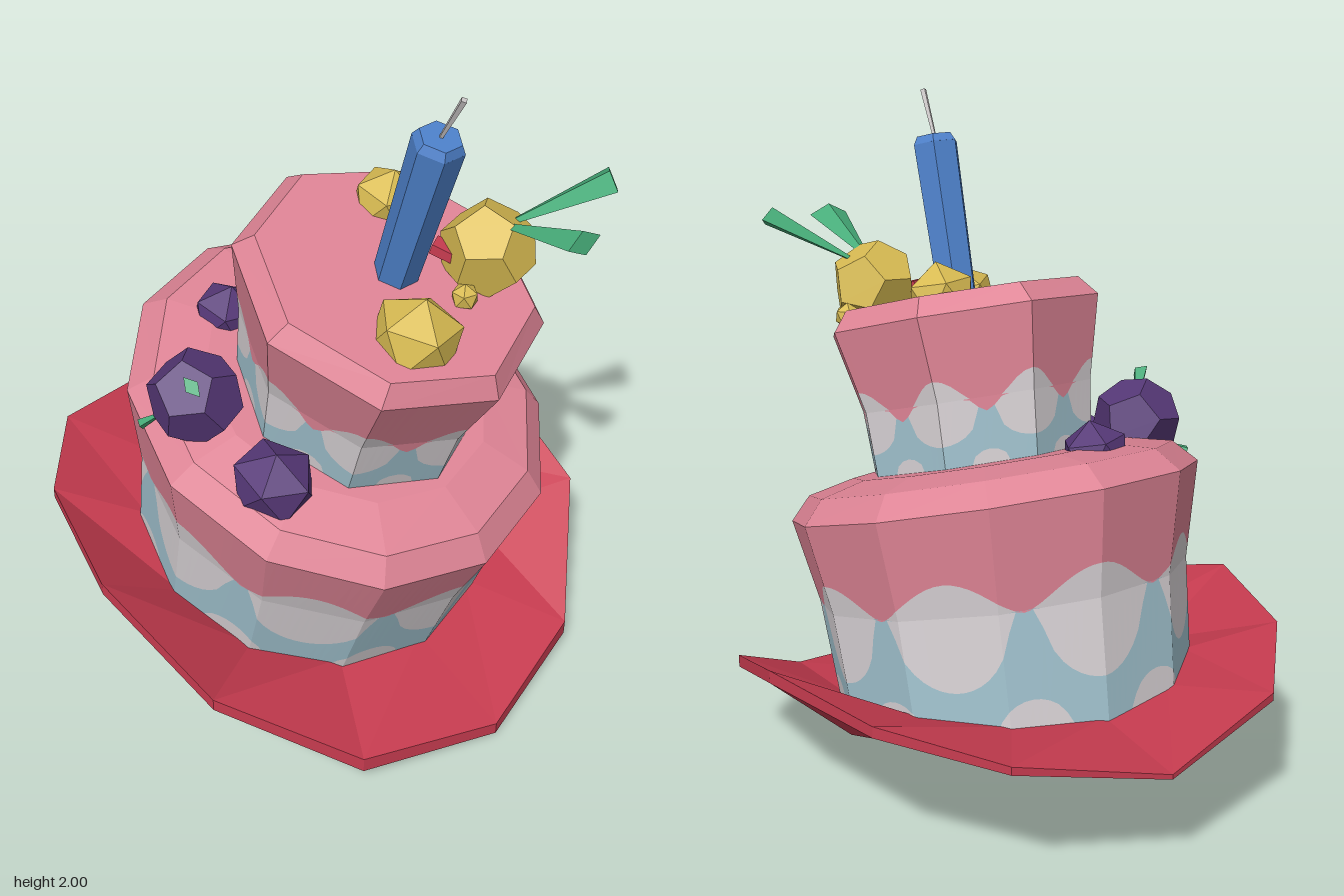
import * as THREE from 'three';

const paint = (name, color) => {
  const m = new THREE.MeshStandardMaterial({ color, flatShading: true });
  m.name = name;
  return m;
};

// Point on a tilted polygon ring; u counts sides, dy is the drop towards +x
function ringPoint(r, sides, u) {
  const corner = (i) => {
    const t = (i / sides) * Math.PI * 2;
    return new THREE.Vector3(r.x + r.rx * Math.cos(t), r.y - r.dy * Math.cos(t), -r.rz * Math.sin(t));
  };
  const i = Math.floor(u);
  return corner(i).lerp(corner(i + 1), u - i);
}

function toMesh(name, points, material) {
  const g = new THREE.BufferGeometry().setFromPoints(points);
  g.computeVertexNormals();
  const mesh = new THREE.Mesh(g, material);
  mesh.name = name;
  return mesh;
}

const quad = (out, a, b, c, d) => out.push(a, b, c, a, c, d);

export function createModel() {
  const group = new THREE.Group();
  const red = paint('brim red', 0xc83c50);
  const pink = paint('icing pink', 0xde8495);
  const cream = paint('cream white', 0xd6d0d3);
  const blue = paint('sponge blue', 0x9fc0cc);
  const candleBlue = paint('candle blue', 0x4d80c9);
  const purple = paint('berry purple', 0x563877);
  const yellow = paint('fruit yellow', 0xd8bb52);
  const green = paint('leaf green', 0x46ab78);
  const grey = paint('wick grey', 0xc8c4c4);

  // Brim: sides curl up, front and back ends droop
  const outer = [[0.86, 0.045, 0], [0.74, 0.1, 0.42], [0.45, 0.325, 0.73], [0.01, 0.48, 0.79],
    [-0.43, 0.48, 0.67], [-0.74, 0.445, 0.42], [-0.86, 0.365, 0]];
  const edge = [0.04, 0.05, 0.04, 0.04, 0.035, 0.025, 0.015];
  const innerY = [0.06, 0.075, 0.115, 0.215, 0.31, 0.32, 0.315];
  const lift = [0.09, 0.09, 0.09, 0.06, 0.06, 0.06, 0.06];
  const loop = (fn) => Array.from({ length: 13 }, (_, i) => {
    const k = i % 12;
    return fn(k > 6 ? 12 - k : k, k > 6 ? 1 : -1);
  });
  const outerAt = (drop) => loop((k, s) => new THREE.Vector3(
    outer[k][0], outer[k][1] - drop * edge[k], s * outer[k][2]));
  const innerAt = (up, r) => loop((k, s) => new THREE.Vector3(
    r * Math.cos(k * Math.PI / 6), innerY[k] + up * lift[k], s * r * Math.sin(k * Math.PI / 6)));
  // First ring is the shallow recess under the cake
  const brimRings = [innerAt(0.8, 0.49), innerAt(0, 0.55), outerAt(1), outerAt(0), innerAt(1, 0.52)];
  const brim = [];
  for (let i = 0; i < 12; i++) {
    for (let j = 0; j < 4; j++) {
      const p = brimRings[j], q = brimRings[j + 1];
      quad(brim, p[i], p[i + 1], q[i + 1], q[i]);
    }
    brim.push(new THREE.Vector3(0, 0.29, 0), brimRings[0][i + 1], brimRings[0][i]);
  }
  group.add(toMesh('brim', brim, red));

  // Cake tier: rings are base, middle, widest rim, then the top rings
  function tier(name, sides, rings, dip, peak) {
    const tierGroup = new THREE.Group();
    tierGroup.name = name;
    const [base, mid, rim] = rings;
    const midV = (mid.y - base.y) / (rim.y - base.y);
    const at = (u, v) => (v <= midV
      ? ringPoint(base, sides, u).lerp(ringPoint(mid, sides, u), v / midV)
      : ringPoint(mid, sides, u).lerp(ringPoint(rim, sides, u), (v - midV) / (1 - midV)));
    // Heights of the scalloped colour borders, eight lobes around
    const borders = (u) => {
      const phase = (u / sides) * 8;
      const t = Math.abs(phase - Math.round(phase)) * 2;
      const p = dip + (peak - dip) * (0.5 + 0.5 * Math.cos(Math.PI * t)) ** 0.75;
      const lobe = t < 0.8 ? dip - (dip - 0.2) * Math.sqrt(1 - (t / 0.8) ** 2) : 1;
      const w = Math.min(p, lobe);
      const b = Math.min(w, 0.15 * Math.sqrt(Math.max(0, 1 - ((1 - t) / 0.5) ** 2)));
      return [0, b, w, p, 1];
    };
    const bands = [[], [], [], []];
    const steps = sides * 12;
    for (let s = 0; s < steps; s++) {
      const u0 = (s / steps) * sides, u1 = ((s + 1) / steps) * sides - 1e-7;
      const b0 = borders(u0), b1 = borders(u1);
      bands.forEach((out, k) => {
        for (const cut of [(v) => Math.min(v, midV), (v) => Math.max(v, midV)]) {
          const [a, b, c, d] = [cut(b0[k]), cut(b1[k]), cut(b1[k + 1]), cut(b0[k + 1])];
          if (d - a > 1e-6 || c - b > 1e-6) quad(out, at(u0, a), at(u1, b), at(u1, c), at(u0, d));
        }
      });
    }
    const skins = [['creamPeaks', cream], ['sponge', blue], ['creamLobes', cream], ['icingDrip', pink]];
    bands.forEach((out, k) => tierGroup.add(toMesh(skins[k][0], out, skins[k][1])));
    // Bevelled shoulder and closed top
    const cap = [];
    const last = rings[rings.length - 1];
    for (let i = 0; i < sides; i++) {
      for (let j = 2; j < rings.length - 1; j++) {
        const p = rings[j], q = rings[j + 1];
        quad(cap, ringPoint(p, sides, i), ringPoint(p, sides, i + 1),
          ringPoint(q, sides, i + 1), ringPoint(q, sides, i));
      }
      cap.push(new THREE.Vector3(last.x, last.y, 0), ringPoint(last, sides, i), ringPoint(last, sides, i + 1));
    }
    tierGroup.add(toMesh('icingTop', cap, pink));
    group.add(tierGroup);
  }
  tier('lowerTier', 12, [
    { x: 0, y: 0.255, rx: 0.545, rz: 0.54, dy: 0.12 },
    { x: 0.08, y: 0.57, rx: 0.57, rz: 0.56, dy: 0.16 },
    { x: 0.135, y: 0.84, rx: 0.63, rz: 0.615, dy: 0.21 },
    { x: 0.16, y: 0.905, rx: 0.565, rz: 0.55, dy: 0.19 },
    { x: 0.17, y: 0.935, rx: 0.42, rz: 0.41, dy: 0.14 }], 0.53, 0.69);
  tier('upperTier', 8, [
    { x: 0.205, y: 0.895, rx: 0.345, rz: 0.345, dy: 0.115 },
    { x: 0.255, y: 1.11, rx: 0.37, rz: 0.36, dy: 0.12 },
    { x: 0.33, y: 1.345, rx: 0.43, rz: 0.42, dy: 0.14 },
    { x: 0.355, y: 1.4, rx: 0.385, rz: 0.37, dy: 0.125 }], 0.39, 0.61);

  // Tapered rod between two points, optionally flattened and twisted
  function rod(name, from, to, r0, r1, sides, material, flatX = 1, flatZ = 1, twist = 0) {
    const a = new THREE.Vector3(...from), b = new THREE.Vector3(...to);
    const geometry = new THREE.CylinderGeometry(r1, r0, a.distanceTo(b), sides);
    const mesh = new THREE.Mesh(geometry.scale(flatX, 1, flatZ).rotateY(twist), material);
    mesh.name = name;
    mesh.position.copy(a).add(b).multiplyScalar(0.5);
    mesh.quaternion.setFromUnitVectors(new THREE.Vector3(0, 1, 0), b.sub(a).normalize());
    group.add(mesh);
  }
  rod('candle', [0.34, 1.34, 0], [0.492, 1.845, 0], 0.062, 0.072, 6, candleBlue);
  rod('candleTip', [0.492, 1.845, 0], [0.499, 1.868, 0], 0.072, 0.058, 6, candleBlue);
  rod('wick', [0.495, 1.86, 0], [0.57, 1.997, 0], 0.006, 0.01, 4, grey);

  // Faceted fruit
  function fruit(name, geometry, material, pos, scale, rot) {
    const mesh = new THREE.Mesh(geometry, material);
    mesh.name = name;
    mesh.position.set(...pos);
    mesh.scale.set(...scale);
    mesh.rotation.set(...rot);
    group.add(mesh);
  }
  // Icosahedron turned to stand on a point, so chunks show a five-sided dome
  const ico = new THREE.IcosahedronGeometry(1, 0).rotateZ(-Math.atan(2 / (1 + Math.sqrt(5))));
  const dode = new THREE.DodecahedronGeometry(1, 0);
  fruit('yellowChunkBack', ico, yellow, [0.145, 1.46, -0.16], [0.105, 0.105, 0.105], [0, 0.4, -0.2]);
  fruit('yellowChunkFront', ico, yellow, [0.545, 1.335, 0.1], [0.13, 0.12, 0.13], [0, 0.9, -0.2]);
  fruit('yellowFruit', dode, yellow, [0.475, 1.44, -0.225], [0.135, 0.135, 0.135], [0.1, 0.2, -0.3]);
  for (const p of [[0.39, 1.375, -0.35], [0.52, 1.36, -0.1]])
    fruit('yellowKnob', ico, yellow, p, [0.04, 0.04, 0.04], [0, 0.4, 0]);
  fruit('redSpot', new THREE.BoxGeometry(1, 1, 1), red, [0.41, 1.435, -0.135], [0.08, 0.03, 0.05], [0, 0.5, -0.3]);
  fruit('purpleBerry', dode, purple, [0.045, 1.02, 0.455], [0.14, 0.135, 0.135], [0.2, 0.3, -0.3]);
  fruit('purpleChunkLeft', ico, purple, [-0.2, 1.03, 0.155], [0.105, 0.105, 0.105], [0, 0.5, -0.2]);
  fruit('purpleChunkRight', ico, purple, [0.335, 0.875, 0.41], [0.13, 0.115, 0.12], [0.1, 0.2, -0.2]);

  // Leaves and stems
  rod('leaf', [0.5, 1.51, -0.27], [0.665, 1.64, -0.48], 0.01, 0.065, 4, green, 1, 0.45, -0.66);
  rod('leaf', [0.51, 1.525, -0.235], [0.79, 1.605, -0.235], 0.01, 0.06, 4, green, 0.55, 1);
  rod('berryStem', [0.08, 1.08, 0.48], [0.14, 1.145, 0.53], 0.012, 0.035, 4, green, 1, 0.6);
  rod('berryLeaf', [-0.03, 0.945, 0.54], [-0.05, 0.925, 0.58], 0.012, 0.026, 4, green, 1, 0.6);
  return group;
}
